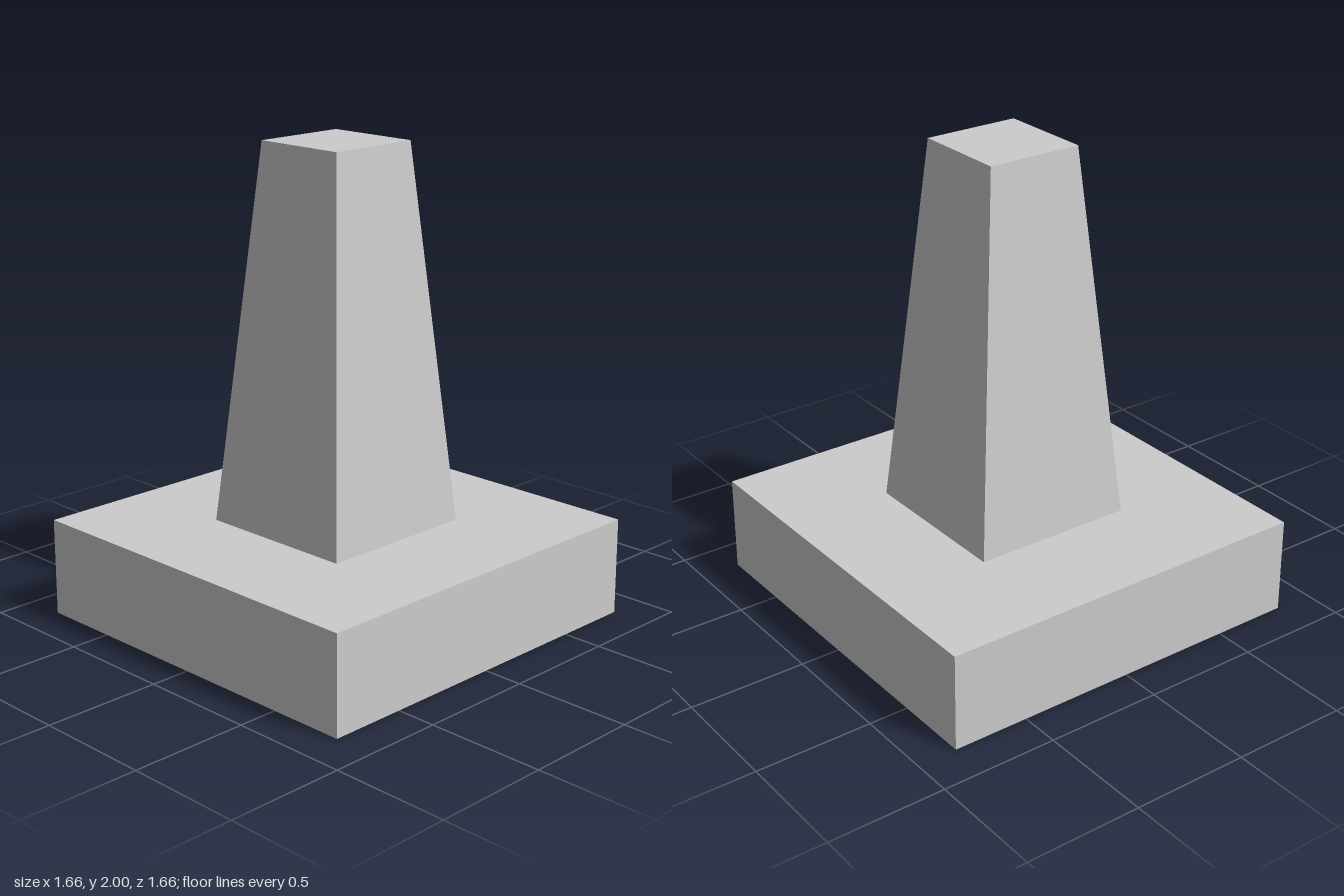
import * as THREE from 'three';

const BASE_WIDTH = 1.66, BASE_HEIGHT = 0.415, TOTAL_HEIGHT = 2;
const COLUMN_BOTTOM = 0.705, COLUMN_TOP = 0.414;

export function createModel() {
  const group = new THREE.Group();
  group.name = 'pedestalFooting';
  const material = new THREE.MeshStandardMaterial({ color: 0xcccccc, flatShading: true });

  // Square slab footing
  const base = new THREE.Mesh(new THREE.BoxGeometry(BASE_WIDTH, BASE_HEIGHT, BASE_WIDTH), material);
  base.name = 'baseSlab';
  base.position.y = BASE_HEIGHT / 2;
  group.add(base);

  // Tapered square column: a four-sided cylinder turned so its faces are axis-aligned
  const height = TOTAL_HEIGHT - BASE_HEIGHT;
  const columnGeometry = new THREE.CylinderGeometry(
    COLUMN_TOP / Math.SQRT2, COLUMN_BOTTOM / Math.SQRT2, height, 4
  ).rotateY(Math.PI / 4);
  const column = new THREE.Mesh(columnGeometry, material);
  column.name = 'taperedColumn';
  column.position.y = BASE_HEIGHT + height / 2;
  group.add(column);

  return group;
}
